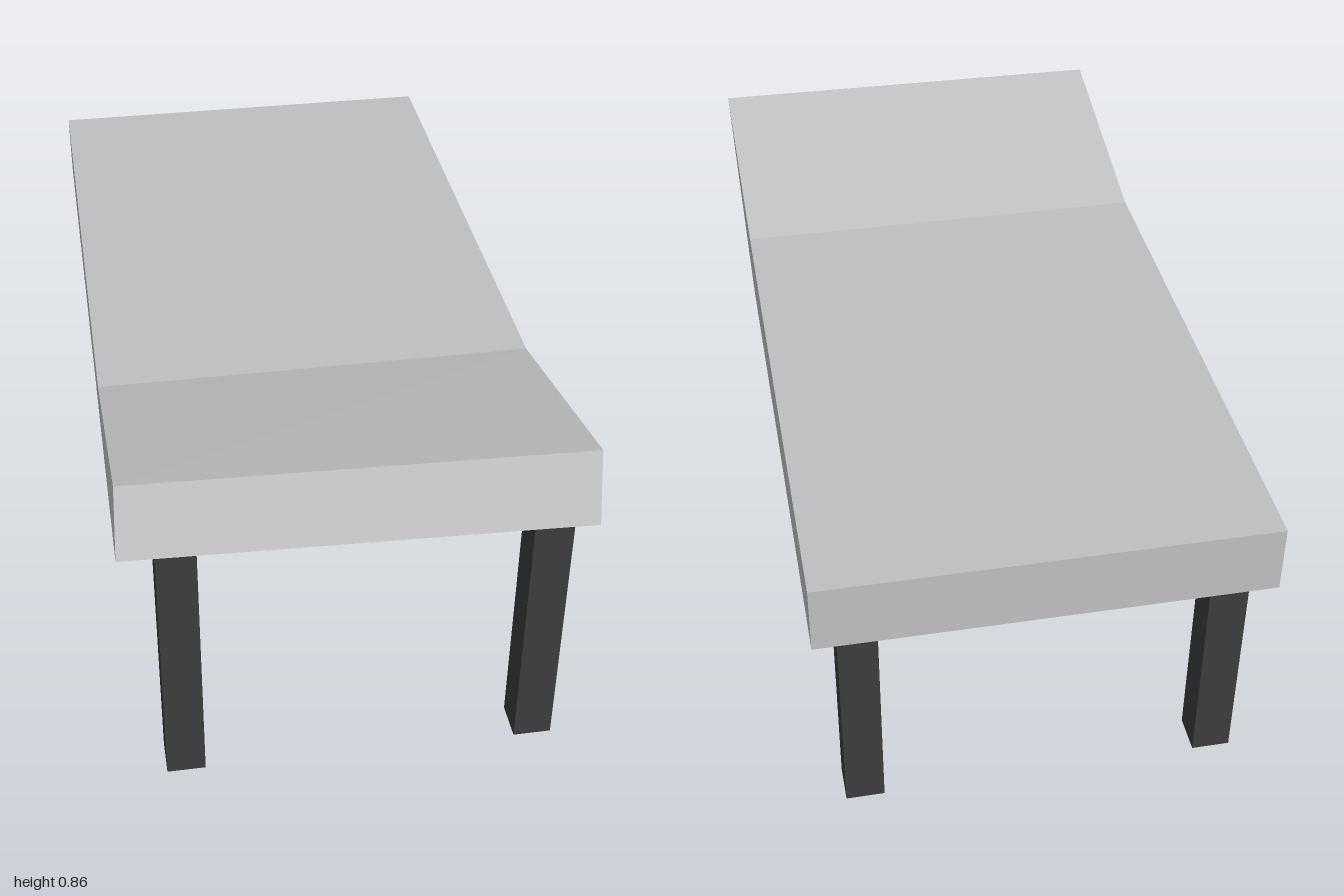
import * as THREE from 'three';

const slabGrey = new THREE.MeshStandardMaterial({ color: 0xc0c0c3 });
slabGrey.name = 'slab grey';
const legCharcoal = new THREE.MeshStandardMaterial({ color: 0x3c3c3c });
legCharcoal.name = 'leg charcoal';

// Cross-sections from back to front: bottom left, bottom right, top right, top left
const sections = [
  [[-0.52, 0.558, -1], [0.515, 0.558, -1], [0.515, 0.725, -1], [-0.52, 0.725, -1]],
  [[-0.52, 0.558, 0.37], [0.515, 0.558, 0.37], [0.515, 0.725, 0.37], [-0.52, 0.725, 0.37]],
  [[-0.523, 0.707, 0.97], [0.512, 0.698, 1], [0.52, 0.851, 0.937], [-0.515, 0.86, 0.91]],
];

function loftSections(rings) {
  const points = [];
  const quad = (a, b, c, d) => points.push(...a, ...b, ...c, ...a, ...c, ...d);
  for (let s = 0; s < rings.length - 1; s++) {
    for (let i = 0; i < 4; i++) {
      const j = (i + 1) % 4;
      quad(rings[s][i], rings[s][j], rings[s + 1][j], rings[s + 1][i]);
    }
  }
  const [a, b, c, d] = rings[0];
  quad(d, c, b, a); // back end
  quad(...rings[rings.length - 1]); // front end
  const geometry = new THREE.BufferGeometry();
  geometry.setAttribute('position', new THREE.Float32BufferAttribute(points, 3));
  geometry.computeVertexNormals();
  return geometry;
}

function makeLeg(name, x, z, height) {
  const leg = new THREE.Mesh(new THREE.BoxGeometry(0.09, height, 0.09), legCharcoal);
  leg.name = name;
  leg.position.set(x, height / 2, z);
  return leg;
}

export function createModel() {
  const model = new THREE.Group();
  model.name = 'lounger';

  // Slab with a raised, slightly twisted head end
  const slab = new THREE.Mesh(loftSections(sections), slabGrey);
  slab.name = 'bentSlab';
  model.add(slab);

  // Square legs, their tops sunk into the slab
  model.add(
    makeLeg('frontLeftLeg', 0.435, 0.89, 0.72),
    makeLeg('frontRightLeg', -0.395, 0.878, 0.72),
    makeLeg('backLeftLeg', 0.412, -0.905, 0.6),
    makeLeg('backRightLeg', -0.427, -0.905, 0.6),
  );
  return model;
}
